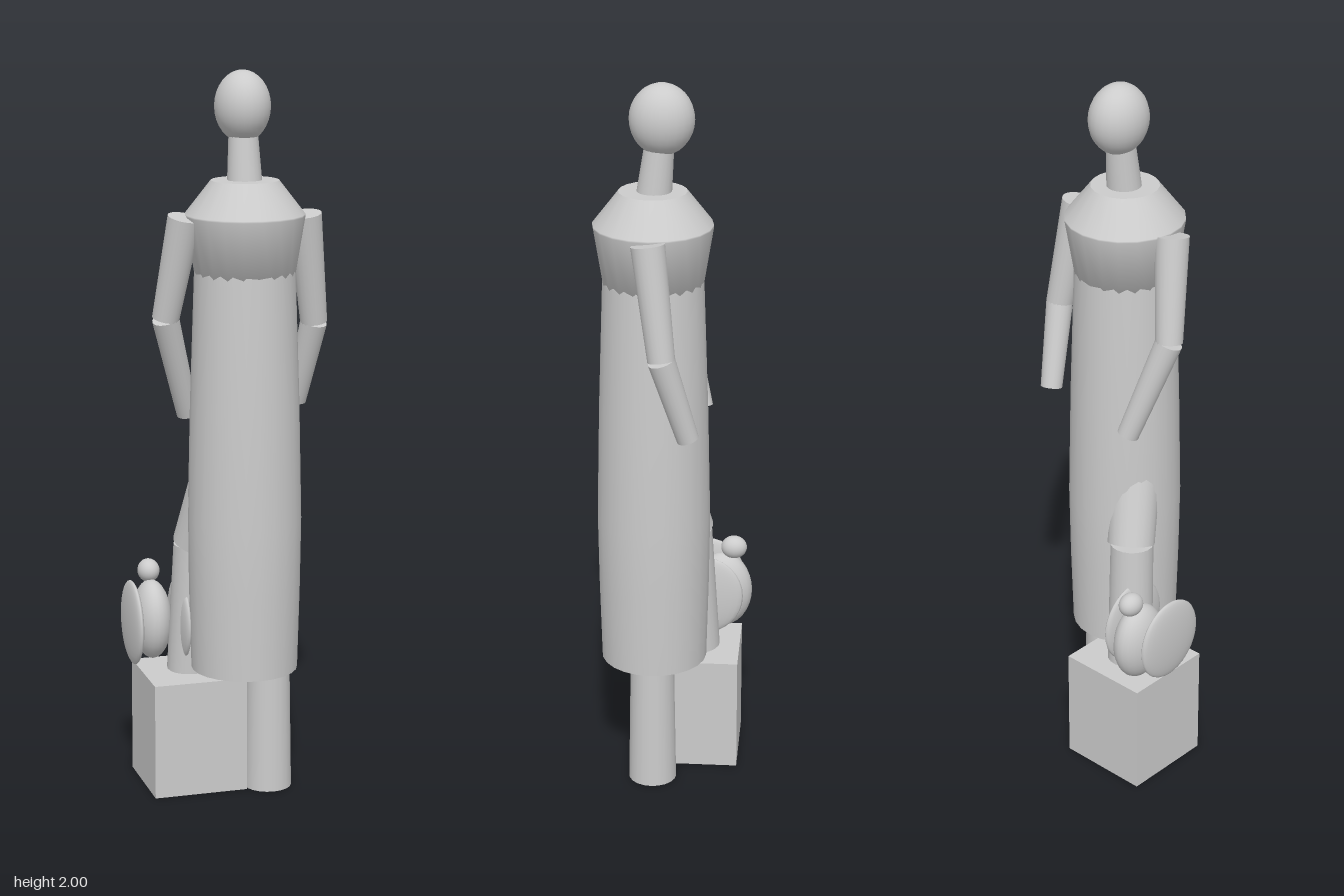
import * as THREE from 'three';

const material = new THREE.MeshStandardMaterial({ color: 0xcccccc });

export function createModel() {
  const model = new THREE.Group();
  model.name = 'robedFigure';

  const add = (name, geometry, x = 0, y = 0, z = 0) => {
    const mesh = new THREE.Mesh(geometry, material);
    mesh.name = name;
    mesh.position.set(x, y, z);
    model.add(mesh);
    return mesh;
  };

  // Stretched sphere with radii along each axis
  const ellipsoid = (name, [x, y, z], [rx, ry, rz]) =>
    add(name, new THREE.SphereGeometry(1, 24, 16).scale(rx, ry, rz), x, y, z);

  // Tapered cylinder between two points
  const limb = (name, from, to, r0, r1) => {
    const a = new THREE.Vector3(...from);
    const b = new THREE.Vector3(...to);
    const dir = b.clone().sub(a);
    const mesh = add(name, new THREE.CylinderGeometry(r1, r0, dir.length(), 20));
    mesh.position.copy(a).add(b).multiplyScalar(0.5);
    mesh.quaternion.setFromUnitVectors(new THREE.Vector3(0, 1, 0), dir.normalize());
    return mesh;
  };

  // Turned body part, centred on the figure's axis
  const turned = (name, profile, sides) =>
    add(name, new THREE.LatheGeometry(profile.map(([r, y]) => new THREE.Vector2(r, y)), sides), 0.027, 0, 0.05);

  // Robe, with a closed hem, and the chest and shoulders above it
  turned('robe', [[0, 0.355], [0.147, 0.355], [0.147, 0.355], [0.153, 0.58], [0.156, 0.78],
    [0.149, 1.1], [0.137, 1.46], [0.13, 1.55], [0, 1.55]], 24);
  turned('chest', [[0, 1.42], [0.13, 1.42], [0.162, 1.615], [0.162, 1.62], [0.092, 1.71], [0.092, 1.71], [0, 1.71]], 20);

  // Neck and head
  limb('neck', [0.027, 1.69, 0.048], [0.027, 1.84, 0.032], 0.048, 0.039);
  ellipsoid('head', [0.027, 1.904, 0.026], [0.075, 0.096, 0.087]);

  // Arms
  const arms = {
    left: [[0.195, 1.613, 0.05], [0.235, 1.31, 0.012], [0.205, 1.08, -0.056]],
    right: [[-0.14, 1.615, 0.05], [-0.18, 1.335, -0.003], [-0.1, 1.055, -0.075]],
  };
  for (const [side, [shoulder, elbow, wrist]] of Object.entries(arms)) {
    limb(`${side}UpperArm`, shoulder, elbow, 0.046, 0.037);
    limb(`${side}Forearm`, elbow, wrist, 0.037, 0.03);
  }

  // Standing left leg, and right leg bent with its foot on the block
  limb('leftLeg', [0.095, 0, 0.05], [0.095, 0.42, 0.05], 0.067, 0.06);
  limb('rightThigh', [-0.02, 1.0, 0.05], [-0.085, 0.69, -0.045], 0.075, 0.066);
  limb('rightShin', [-0.1, 0.325, -0.065], [-0.088, 0.69, -0.045], 0.063, 0.06);

  // Block
  add('block', new THREE.BoxGeometry(0.264, 0.325, 0.262), -0.105, 0.1625, -0.054);

  // Small winged creature perched on the block
  ellipsoid('creatureBody', [-0.192, 0.457, -0.13], [0.054, 0.113, 0.085]);
  ellipsoid('creatureHead', [-0.192, 0.59, -0.162], [0.031, 0.033, 0.037]);
  for (const [side, x] of [['left', -0.124], ['right', -0.26]]) {
    ellipsoid(`${side}Wing`, [x, 0.467, -0.08], [0.019, 0.118, 0.112]);
  }

  return model;
}
